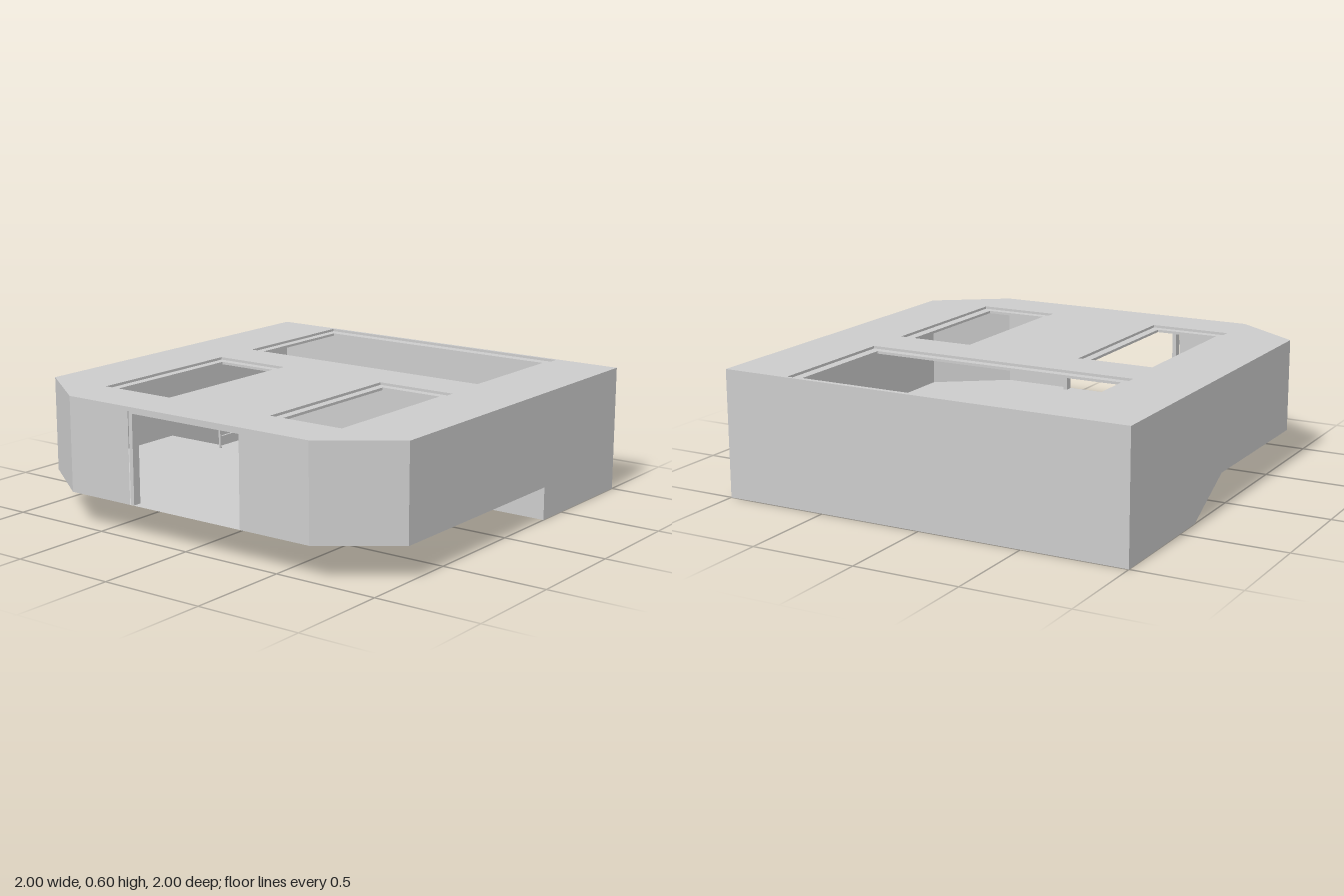
import * as THREE from 'three';

const TOP = 0.6, DECK = 0.155, STEP = 0.34, RAMP = 0.05, RAMP_Z = -0.67;

export function createModel() {
  const model = new THREE.Group();
  const mat = new THREE.MeshStandardMaterial({ color: 0xcccccc, flatShading: true, side: THREE.DoubleSide });

  const add = (name, geo, parent = model) => {
    const mesh = new THREE.Mesh(geo, mat);
    mesh.name = name;
    parent.add(mesh);
    return mesh;
  };
  const outline = (pts) => new THREE.Shape(pts.map(([a, b]) => new THREE.Vector2(a, b)));
  const rect = (x0, x1, z0, z1) => [[x0, z0], [x1, z0], [x1, z1], [x0, z1]];
  // flat sheet drawn in x and z, at height y
  const sheet = (pts, y) => new THREE.ShapeGeometry(outline(pts)).rotateX(Math.PI / 2).translate(0, y, 0);
  // slab drawn in x and z with holes, hanging down from height y
  const slab = (pts, holes, y, depth) => {
    const s = outline(pts);
    s.holes = holes.map(outline);
    return new THREE.ExtrudeGeometry(s, { depth, bevelEnabled: false }).rotateX(Math.PI / 2).translate(0, y, 0);
  };
  // upright wall drawn in x and y
  const wall = (pts, z) => new THREE.ShapeGeometry(outline(pts)).translate(0, 0, z);
  const box = (name, x, y, z, w, h, d, parent) =>
    add(name, new THREE.BoxGeometry(w, h, d).translate(x, y, z), parent);

  // roof with three skylights, each with a recessed frame
  const plan = [[-0.76, -1], [1, -1], [1, 1], [-0.76, 1], [-1, 0.67], [-1, -0.67]];
  const skylights = [
    { outer: rect(-0.76, 0.06, -0.675, -0.285), inner: rect(-0.72, 0.02, -0.635, -0.325) },
    { outer: rect(-0.76, 0.06, 0.28, 0.675), inner: rect(-0.72, 0.02, 0.32, 0.63) },
    { outer: rect(0.295, 0.985, -0.675, 0.675), inner: rect(0.335, 0.935, -0.635, 0.63) },
  ];
  add('roof', slab(plan, skylights.map((s) => s.outer), TOP, 0.012));
  for (const s of skylights) add('skylightFrame', slab(s.outer, [s.inner], TOP - 0.012, 0.012));

  // upper floor, lower floor and the ramp joining them along the back
  add('upperFloor', sheet([[-0.76, -1], [RAMP, -1], [RAMP, RAMP_Z], [STEP, RAMP_Z], [STEP, 1],
    [-0.76, 1], [-1, 0.67], [-1, -0.67]], DECK));
  add('lowerFloor', sheet(rect(STEP, 1, -1, 1), 0));
  const run = STEP - RAMP;
  const ramp = add('ramp', new THREE.PlaneGeometry(Math.hypot(run, DECK), 1 + RAMP_Z).rotateX(-Math.PI / 2));
  ramp.rotation.z = -Math.atan2(DECK, run);
  ramp.position.set((RAMP + STEP) / 2, DECK / 2, (RAMP_Z - 1) / 2);
  add('rampSide', wall([[RAMP, DECK], [STEP, 0], [STEP, DECK]], RAMP_Z));
  add('stepRiser', new THREE.PlaneGeometry(1 - RAMP_Z, DECK).rotateY(Math.PI / 2)
    .translate(STEP, DECK / 2, (1 + RAMP_Z) / 2));

  // outer walls
  add('frontWall', wall([[-0.76, DECK], [STEP, DECK], [STEP, 0], [1, 0], [1, TOP], [-0.76, TOP]], 1));
  add('backWall', wall([[-0.76, DECK], [RAMP, DECK], [STEP, 0], [1, 0], [1, TOP], [-0.76, TOP]], -1));
  add('leftWall', new THREE.PlaneGeometry(2, TOP).rotateY(Math.PI / 2).translate(1, TOP / 2, 0));
  const H = TOP - DECK, midY = (TOP + DECK) / 2;
  for (const s of [-1, 1]) {
    const corner = add('cornerWall', new THREE.PlaneGeometry(Math.hypot(0.24, 0.33), H));
    corner.position.set(-0.88, midY, s * 0.835);
    corner.rotation.y = s * -Math.atan2(0.33, 0.24);
  }

  // wall with the doorway and its frame
  const doorWall = outline([[-0.67, DECK], [-0.32, DECK], [-0.32, 0.58], [0.32, 0.58], [0.32, DECK],
    [0.67, DECK], [0.67, TOP], [-0.67, TOP]]);
  add('doorWall', new THREE.ShapeGeometry(doorWall).rotateY(-Math.PI / 2).translate(-1, 0, 0));
  const frame = new THREE.Group();
  frame.name = 'doorFrame';
  model.add(frame);
  for (const s of [-1, 1]) box('doorJamb', -0.975, (DECK + 0.58) / 2, s * 0.31, 0.04, 0.58 - DECK, 0.02, frame);
  box('doorLintel', -0.975, 0.575, 0, 0.04, 0.01, 0.64, frame);

  // railings along the step and beside the ramp
  const railing = new THREE.Group();
  railing.name = 'railing';
  model.add(railing);
  const RX = 0.315, RZ = -0.645, T = 0.01;
  for (let i = 0; i <= 10; i++) box('railPost', RX, DECK + 0.05, RZ + i * 0.1635, T, 0.1, T, railing);
  for (let i = 1; i <= 2; i++) box('railPost', RX - i * 0.155, DECK + 0.05, RZ, T, 0.1, T, railing);
  for (const h of [0.055, 0.1]) {
    box('rail', RX, DECK + h, (1 + RZ) / 2, T, T, 1 - RZ, railing);
    box('rail', RX - 0.155, DECK + h, RZ, 0.32, T, T, railing);
  }
  return model;
}
